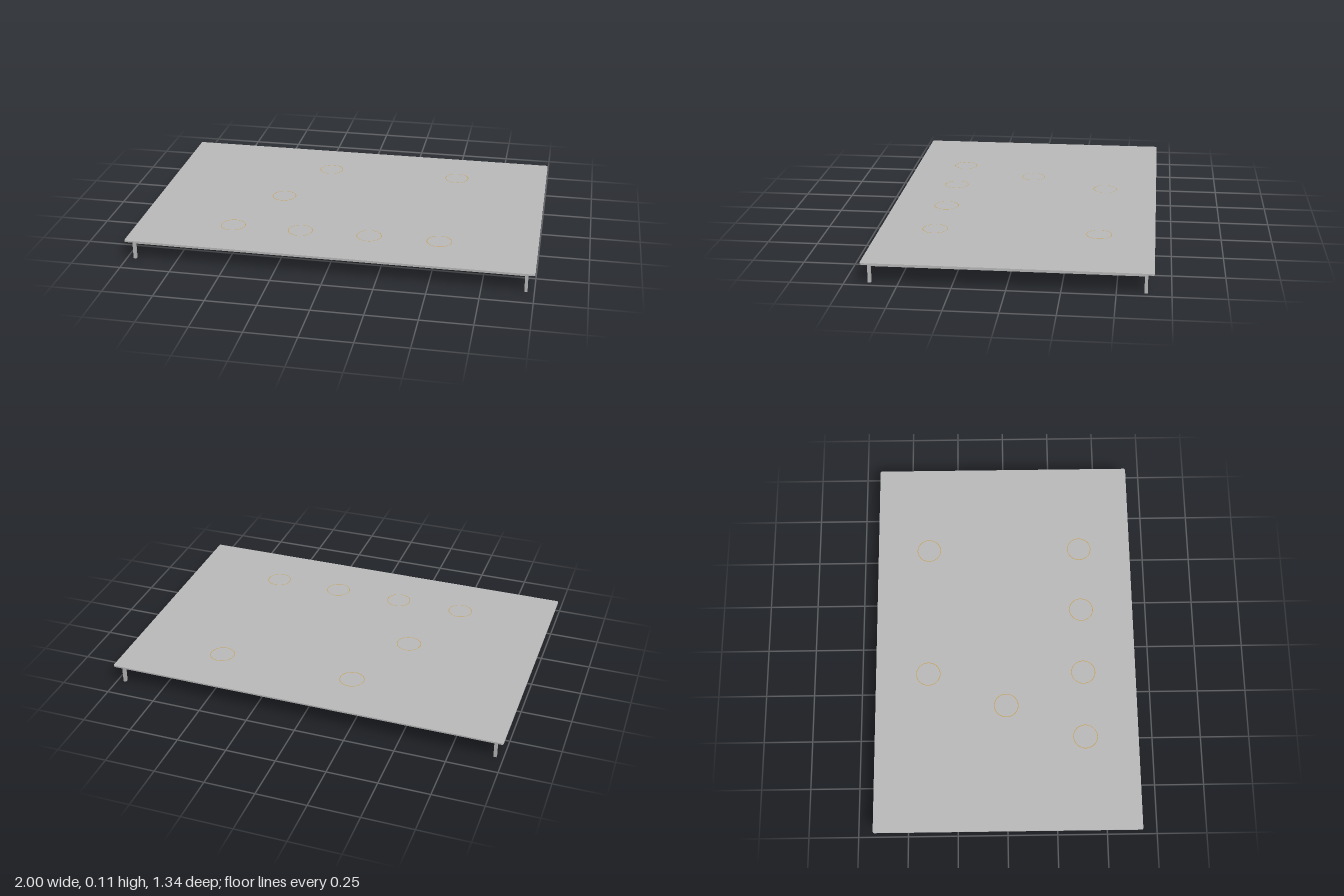
import * as THREE from 'three';

export function createModel() {
  const root = new THREE.Group();
  root.name = 'lowPlatform';

  const steel = new THREE.MeshStandardMaterial({ color: 0xbcbcbc });
  steel.name = 'brushed steel';
  const gold = new THREE.MeshStandardMaterial({ color: 0xc8a050 });
  gold.name = 'gold line';

  const add = (geometry, material, name, x, y, z) => {
    const mesh = new THREE.Mesh(geometry, material);
    mesh.name = name;
    mesh.position.set(x, y, z);
    root.add(mesh);
    return mesh;
  };

  // Thin top plate with slightly rounded corners
  const W = 1, D = 0.67, r = 0.008, topY = 0.108, thick = 0.008;
  const outline = new THREE.Shape();
  outline.absarc(W - r, D - r, r, 0, Math.PI / 2);
  outline.absarc(-W + r, D - r, r, Math.PI / 2, Math.PI);
  outline.absarc(-W + r, -D + r, r, Math.PI, Math.PI * 1.5);
  outline.absarc(W - r, -D + r, r, Math.PI * 1.5, Math.PI * 2);
  outline.closePath();
  const plate = new THREE.ExtrudeGeometry(outline, { depth: thick, bevelEnabled: false, curveSegments: 4 });
  plate.rotateX(-Math.PI / 2);
  add(plate, steel, 'topPlate', 0, topY - thick, 0);

  // Square legs and the rails joining them under the plate
  const legX = 0.96, legZ = 0.634, bar = 0.015, railBottom = 0.082;
  const under = topY - thick;
  const railH = under - railBottom;
  const railY = (under + railBottom) / 2;
  for (const s of [-1, 1]) {
    for (const t of [-1, 1]) {
      add(new THREE.BoxGeometry(bar, under, bar), steel, 'leg', s * legX, under / 2, t * legZ);
    }
    add(new THREE.BoxGeometry(2 * legX - bar, railH, bar), steel, 'longRail', 0, railY, s * legZ);
    add(new THREE.BoxGeometry(bar, railH, 2 * legZ - bar), steel, 'shortRail', s * legX, railY, 0);
  }

  // Fine circles marked on the plate
  const ring = new THREE.RingGeometry(0.0595, 0.0625, 64);
  ring.rotateX(-Math.PI / 2);
  const spots = [
    [-0.175, -0.4], [0.52, -0.4], [-0.35, 0],
    [-0.52, 0.4], [-0.175, 0.4], [0.172, 0.4], [0.52, 0.4],
  ];
  for (const [x, z] of spots) add(ring, gold, 'circleMark', x, topY + 0.0008, z);

  return root;
}
